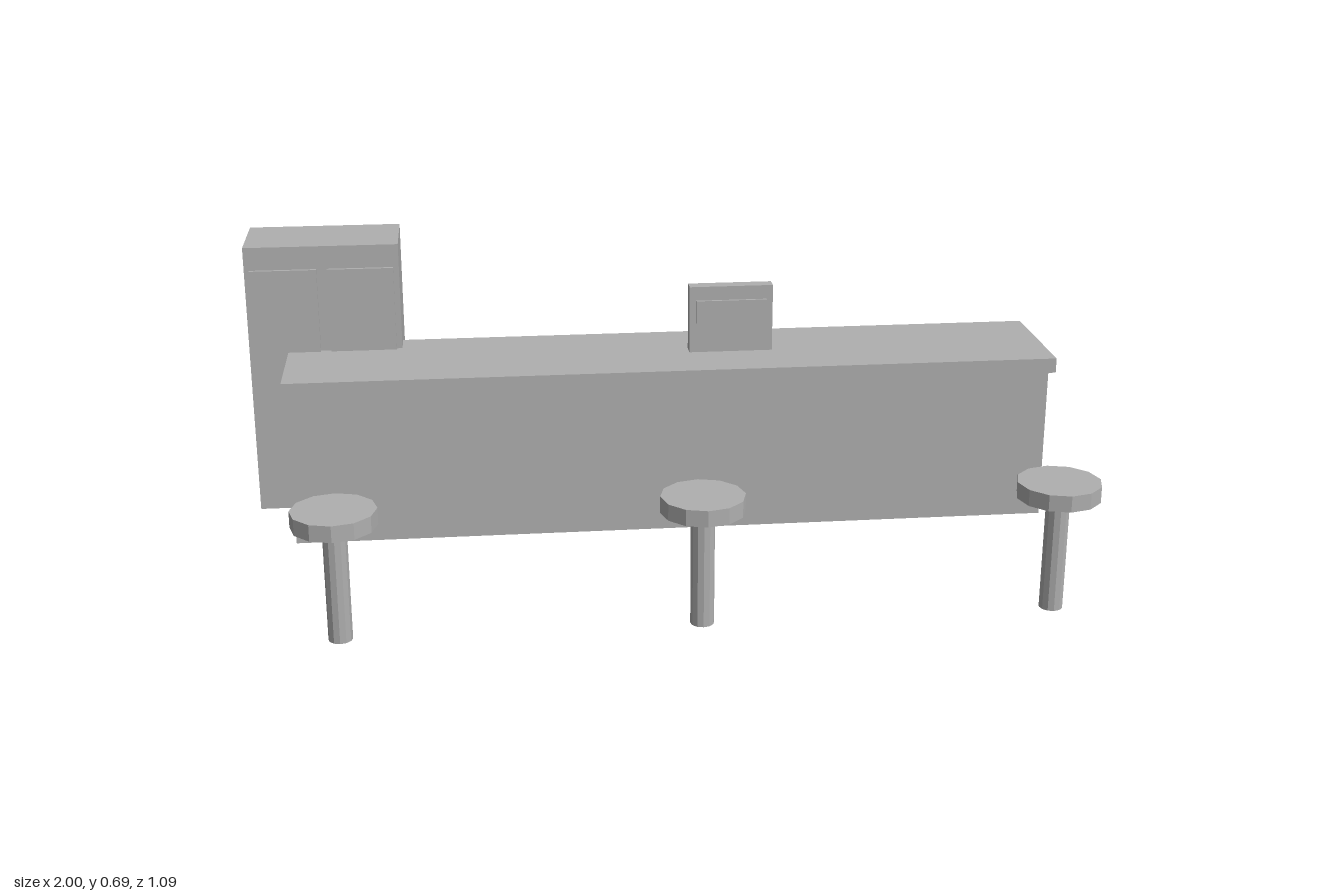
import * as THREE from 'three';

export function createModel() {
  const model = new THREE.Group();
  model.name = 'barCounterSet';
  const grey = new THREE.MeshStandardMaterial({ name: 'plain grey', color: 0xb0b0b0, flatShading: true });

  // box given by its limits on each axis
  const box = (name, [x0, x1], [y0, y1], [z0, z1], parent = model) => {
    const mesh = new THREE.Mesh(new THREE.BoxGeometry(x1 - x0, y1 - y0, z1 - z0), grey);
    mesh.position.set((x0 + x1) / 2, (y0 + y1) / 2, (z0 + z1) / 2);
    mesh.name = name;
    parent.add(mesh);
  };
  const disc = (name, radius, y0, y1, parent) => {
    const mesh = new THREE.Mesh(new THREE.CylinderGeometry(radius, radius, y1 - y0, 12), grey);
    mesh.position.y = (y0 + y1) / 2;
    mesh.name = name;
    parent.add(mesh);
  };

  // counter with overhanging top
  box('counterBody', [-0.893, 0.985], [0, 0.385], [-0.384, -0.098]);
  box('counterTop', [-0.904, 0.997], [0.385, 0.422], [-0.404, -0.077]);

  // tall cabinet with two doors
  const cabinet = new THREE.Group();
  cabinet.name = 'cabinet';
  model.add(cabinet);
  box('cabinetBody', [-1, -0.62], [0, 0.692], [-0.545, -0.334], cabinet);
  box('rightDoor', [-0.988, -0.823], [0.06, 0.634], [-0.334, -0.325], cabinet);
  box('leftDoor', [-0.797, -0.634], [0.06, 0.634], [-0.334, -0.325], cabinet);

  // display standing on the counter
  const display = new THREE.Group();
  display.name = 'display';
  model.add(display);
  box('displayBody', [0.096, 0.305], [0.422, 0.591], [-0.258, -0.223], display);
  box('displayScreen', [0.112, 0.289], [0.443, 0.556], [-0.223, -0.216], display);

  // row of stools
  for (const x of [-0.758, 0.046, 0.85]) {
    const stool = new THREE.Group();
    stool.name = 'stool';
    stool.position.set(x, 0, 0.45);
    disc('stoolLeg', 0.027, 0, 0.27, stool);
    disc('stoolSeat', 0.095, 0.27, 0.308, stool);
    model.add(stool);
  }
  return model;
}
